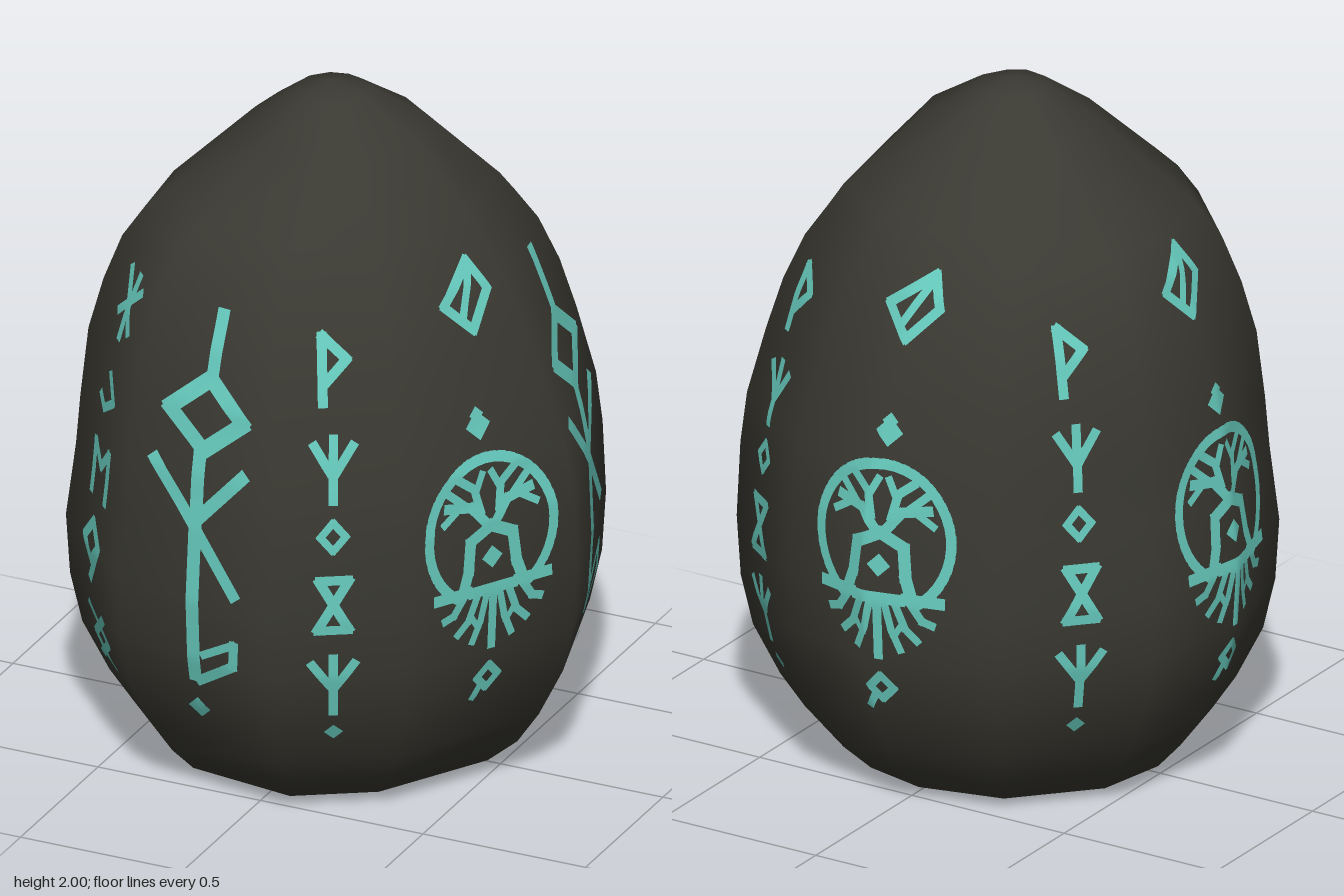
import * as THREE from 'three';

const stone = new THREE.MeshStandardMaterial({ color: 0x3a3932 });
stone.name = 'dark stone';
const glow = new THREE.MeshStandardMaterial({ color: 0x66cabd });
glow.name = 'teal inlay';

// Widest cross-section (x, z), going round from the front towards +x
const OUTLINE = [[-0.36, 0.67], [0.14, 0.745], [0.47, 0.54], [0.76, 0.05], [0.62, -0.43], [0.29, -0.68],
  [0, -0.75], [-0.38, -0.66], [-0.69, -0.33], [-0.755, 0], [-0.67, 0.35]];
// Egg profile: height, scale of the cross-section, sideways shift, swelling of the diagonals
const RINGS = [[0, 0.57, -0.01, 0], [0.02, 0.64, -0.01, 0], [0.1, 0.75, 0, 0], [0.2, 0.84, 0, 0], [0.35, 0.94, 0, 0],
  [0.5, 0.985, 0, 0], [0.68, 1, 0, 0], [0.9, 0.975, 0.01, 0], [1.05, 0.94, 0.005, 0.02], [1.25, 0.87, -0.015, 0.05],
  [1.4, 0.795, -0.02, 0.08], [1.53, 0.715, -0.025, 0.1], [1.62, 0.635, -0.025, 0.1], [1.68, 0.575, -0.01, 0.08],
  [1.87, 0.335, 0, 0.03], [1.975, 0.135, -0.015, 0]];

function geometryFrom(positions, index) {
  const g = new THREE.BufferGeometry();
  g.setAttribute('position', new THREE.Float32BufferAttribute(positions, 3));
  g.setIndex(index);
  g.computeVertexNormals();
  return g;
}

function makeStone() {
  const pos = [], idx = [], n = OUTLINE.length;
  for (const [y, s, shift, swell] of RINGS) {
    for (const [x, z] of OUTLINE) {
      const k = s * (1 + swell * Math.sin(2 * Math.atan2(x, z)) ** 2);
      pos.push(x * k + shift, y, z * k);
    }
  }
  const bottom = pos.length / 3, top = bottom + 1, last = (RINGS.length - 1) * n;
  pos.push(0, 0, 0, -0.02, 2, 0);
  for (let i = 0; i < n; i++) {
    const j = (i + 1) % n;
    for (let k = 0; k < last; k += n) idx.push(k + i, k + j, k + n + j, k + i, k + n + j, k + n + i);
    idx.push(bottom, j, i, top, last + i, last + j);
  }
  const mesh = new THREE.Mesh(geometryFrom(pos, idx), stone);
  mesh.name = 'eggStone';
  return mesh;
}

// Point just above the stone, seen level from a compass angle, u to the right
const raycaster = new THREE.Raycaster();
function onStone(body, angle, u, y) {
  const nx = Math.sin(angle), nz = Math.cos(angle);
  const from = new THREE.Vector3(u * nz + 2 * nx, y + 0.00013, -u * nx + 2 * nz);
  raycaster.set(from, new THREE.Vector3(-nx, 0, -nz));
  const hit = raycaster.intersectObject(body)[0];
  // A ray can slip exactly between two faces: nudge it and try again
  if (!hit) return onStone(body, angle, u * 0.999, y + 0.0003);
  return [hit.point.x + nx * 0.005, y, hit.point.z + nz * 0.005];
}

// Inlay made of thin ribbons; each stroke is { w, pts, butt }
function makeInlay(body, name, degrees, offset, strokes) {
  const angle = THREE.MathUtils.degToRad(degrees), pos = [], idx = [], COLS = 3;
  for (const { w, pts, butt } of strokes) {
    for (let i = 0; i + 1 < pts.length; i++) {
      const [p, q] = [pts[i], pts[i + 1]];
      const len = Math.hypot(q[0] - p[0], q[1] - p[1]);
      const dx = (q[0] - p[0]) / len, dy = (q[1] - p[1]) / len;
      const ext = butt ? 0 : w * 0.35, rows = Math.ceil((len + 2 * ext) / 0.02);
      const start = pos.length / 3;
      for (let r = 0; r <= rows; r++) {
        const along = -ext + (len + 2 * ext) * r / rows;
        for (let c = 0; c <= COLS; c++) {
          const side = (c / COLS - 0.5) * w;
          pos.push(...onStone(body, angle, offset + p[0] + dx * along - dy * side, p[1] + dy * along + dx * side));
          if (r < rows && c < COLS) {
            const v = start + r * (COLS + 1) + c, up = v + COLS + 1;
            idx.push(v, up, up + 1, v, up + 1, v + 1);
          }
        }
      }
    }
  }
  const mesh = new THREE.Mesh(geometryFrom(pos, idx), glow);
  mesh.name = name;
  return mesh;
}

const line = (w, ...pts) => ({ w, pts });
const dot = (u, y, r) => ({ w: r * 1.41, pts: [[u - r / 2, y - r / 2], [u + r / 2, y + r / 2]], butt: true });
const diamond = (w, u, y, rx, ry = rx) => line(w, [u, y + ry], [u + rx, y], [u, y - ry], [u - rx, y], [u, y + ry]);
const fork = (w, y0, y1, ym, r) => [line(w, [0, y1], [0, y0]), line(w, [-r, y1 - 0.02], [0, ym], [r, y1 - 0.02])];
const mirror = (w, ...pts) => [line(w, ...pts), line(w, ...pts.map(([u, y]) => [-u, y]))];

// Tall branching staff
const staff = [
  line(0.038, [0.018, 1.5], [0.014, 1.34]), diamond(0.046, 0.01, 1.225, 0.12, 0.1),
  line(0.042, [0, 1.12], [0, 0.44]),
  line(0.038, [-0.145, 1.07], [0, 0.9], [0.135, 0.73]), line(0.038, [0.145, 1.08], [0, 0.92]),
  line(0.03, [0.135, 0.58], [0.13, 0.51], [0.01, 0.43]), line(0.024, [0.135, 0.58], [0.03, 0.52]),
  dot(0, 0.335, 0.036),
];

// Narrow columns of small carved marks
const columnA = [
  line(0.028, [-0.03, 1.3], [-0.035, 1.48], [0.035, 1.42], [-0.02, 1.36]),
  ...fork(0.026, 1.03, 1.21, 1.1, 0.055),
  diamond(0.022, 0, 0.93, 0.035, 0.042),
  line(0.028, [-0.04, 0.8], [0.045, 0.8], [-0.045, 0.65], [0.045, 0.65], [-0.04, 0.8]),
  ...fork(0.026, 0.38, 0.565, 0.46, 0.06),
  dot(0, 0.31, 0.027),
];
const columnB = [
  line(0.028, [0.01, 1.5], [0.0, 1.32]),
  line(0.026, [-0.06, 1.5], [0.05, 1.35]), line(0.026, [0.055, 1.47], [-0.05, 1.38]),
  line(0.026, [0, 1.21], [0.045, 1.14], [-0.02, 1.1], [-0.055, 1.13]),
  line(0.028, [-0.055, 0.84], [-0.055, 0.99], [0, 0.93], [0.055, 0.99], [0.055, 0.84]),
  diamond(0.032, -0.01, 0.7, 0.055, 0.06), line(0.028, [0.045, 0.69], [-0.03, 0.58]),
  line(0.028, [-0.055, 0.49], [0.05, 0.4], [-0.05, 0.33]),
  line(0.028, [0.05, 0.48], [-0.055, 0.4], [0.055, 0.33]),
];

// Round tree medallion: rim, crown, arched trunk and roots
const rim = [];
for (let i = 0; i <= 36; i++) {
  const a = THREE.MathUtils.degToRad(-58 + 296 * i / 36);
  rim.push([0.207 * Math.cos(a), 0.865 + 0.215 * Math.sin(a)]);
}
const tree = [
  line(0.03, ...rim),
  ...mirror(0.036, [0.1, 0.7], [0.08, 0.76], [0.07, 0.85], [0, 0.885]),
  ...mirror(0.03, [0.02, 0.9], [0.06, 0.95], [0.14, 0.965]),
  ...mirror(0.026, [0.03, 0.93], [0.045, 1.0], [0.09, 1.035]),
  ...mirror(0.024, [0.08, 0.96], [0.13, 1.005]),
  ...mirror(0.022, [0.04, 0.99], [0.015, 1.04]),
  ...mirror(0.022, [0.1, 0.955], [0.155, 0.92]),
  ...mirror(0.034, [0.08, 0.7], [0.185, 0.7]),
  ...mirror(0.026, [0.09, 0.7], [0.13, 0.64], [0.16, 0.63]),
  ...mirror(0.024, [0.05, 0.69], [0.08, 0.61], [0.115, 0.575]),
  ...mirror(0.022, [0.02, 0.69], [0.04, 0.6], [0.065, 0.54]),
  ...mirror(0.018, [0.07, 0.62], [0.045, 0.58]),
  line(0.034, [-0.07, 0.695], [0.07, 0.695]), line(0.026, [0, 0.69], [0, 0.515]),
  dot(0, 0.79, 0.034),
  dot(0, 1.17, 0.042), dot(0, 1.2, 0.024),
  diamond(0.024, 0, 0.415, 0.034, 0.038), line(0.022, [-0.02, 0.39], [-0.04, 0.35]),
];

// Slanted diamond with a crossbar above each medallion
const crest = [
  line(0.028, [-0.08, 1.5], [0.045, 1.59], [0.08, 1.51], [-0.005, 1.42], [-0.08, 1.5]),
  line(0.024, [-0.03, 1.45], [0.045, 1.58]),
];

export function createModel() {
  const model = new THREE.Group();
  model.name = 'carvedEggStone';
  const body = makeStone();
  model.add(body);
  const inlay = (...args) => model.add(makeInlay(body, ...args));
  inlay('staffInlay', 0, -0.11, staff);
  inlay('staffInlay', 90, 0.18, staff);
  for (const a of [24.4, 139, 228.5]) inlay('markColumn', a, 0, columnA);
  inlay('markColumn', -44, 0, columnB);
  for (const a of [64.4, 183, 270]) inlay('treeMedallion', a, 0, tree);
  for (const a of [70, 184, 269]) inlay('crestDiamond', a, 0, crest);
  return model;
}
